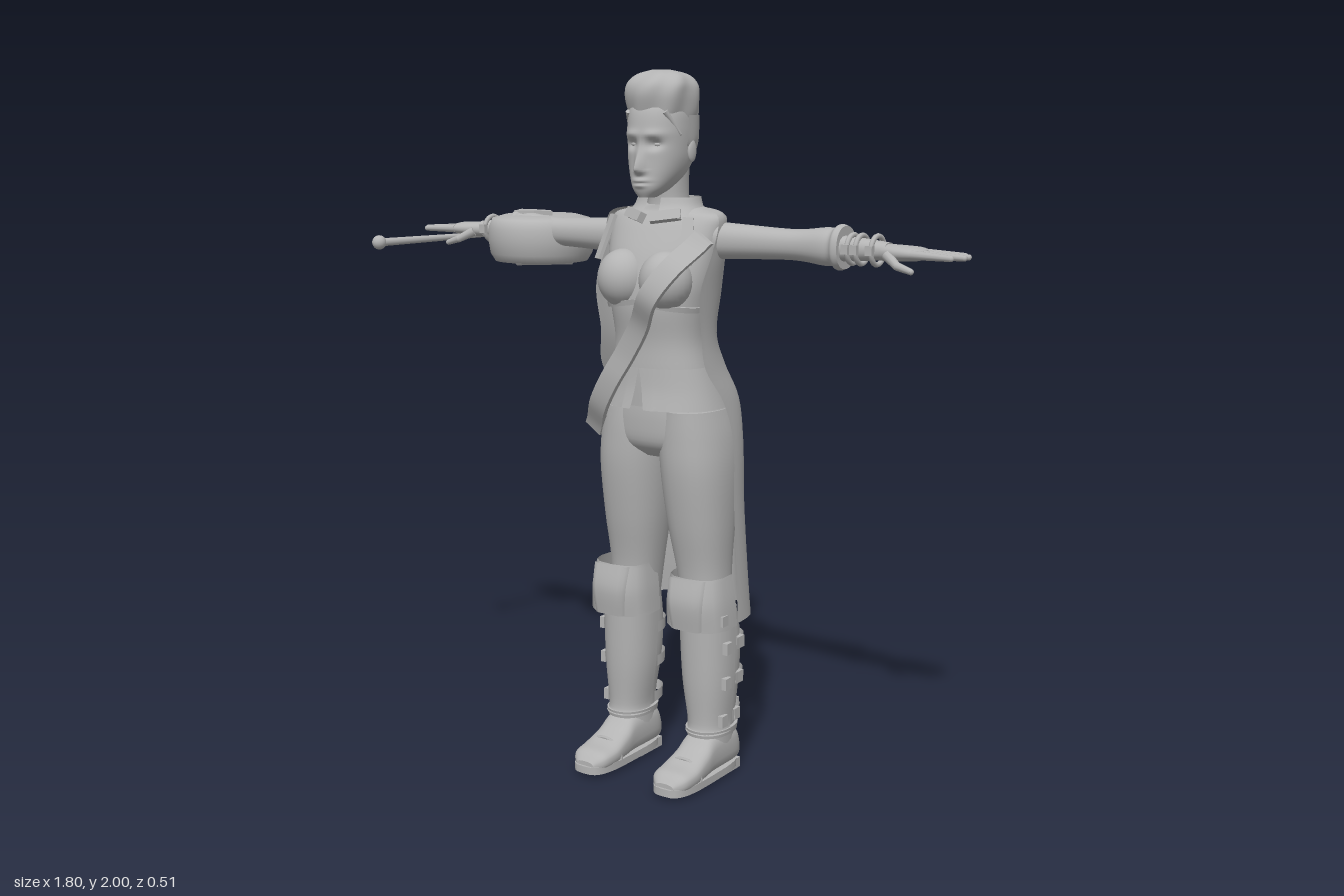
import * as THREE from 'three';

const { sin, cos, PI, abs, sign, exp, floor, min, max } = Math;
const grey = new THREE.MeshStandardMaterial({ color: 0xb4b4b4, side: THREE.DoubleSide });
grey.name = 'clay grey';

// Smooth interpolation through a list of equally spaced rows of numbers
function spline(rows, t) {
  const last = rows.length - 1, i = max(0, min(floor(t), last - 1)), u = t - i;
  const at = k => rows[max(0, min(last, k))];
  return rows[i].map((_, c) => {
    const [a, b, d, e] = [at(i - 1)[c], at(i)[c], at(i + 1)[c], at(i + 2)[c]];
    return b + 0.5 * u * (d - a + u * (2 * a - 5 * b + 4 * d - e + u * (3 * (b - d) + e - a)));
  });
}

// Skin over oval sections, row = [height, centreX, halfWidth, frontZ, backZ].
// from/to give an open shell; bend moves each point by a rule.
function loft(rows, { n = 32, steps = 5, p = 0.9, from = 0, to = 2 * PI, bend } = {}) {
  const full = to - from > 6.28, cols = full ? n : n + 1, count = (rows.length - 1) * steps;
  const pos = [], idx = [], v = new THREE.Vector3();
  const power = c => sign(c) * abs(c) ** p;
  const ring = s => {
    const [y, cx, w, zf, zb] = spline(rows, s / steps);
    for (let j = 0; j < cols; j++) {
      const a = from + (to - from) * j / n;
      v.set(cx + w * power(cos(a)), y, (zf + zb) / 2 + (zf - zb) / 2 * power(sin(a)));
      if (bend) bend(v, a, s / count);
      pos.push(v.x, v.y, v.z);
    }
  };
  for (let s = 0; s <= count; s++) ring(s);
  for (let s = 0; s < count; s++) for (let j = 0; j < n; j++) {
    const a = s * cols + j, b = s * cols + (j + 1) % cols;
    idx.push(a, a + cols, b, b, a + cols, b + cols);
  }
  if (full) for (const s of [0, count]) {
    const start = pos.length / 3, [y, cx, , zf, zb] = spline(rows, s / steps);
    ring(s);
    pos.push(cx, y, (zf + zb) / 2);
    for (let j = 0; j < n; j++) {
      const a = start + j, b = start + (j + 1) % n;
      idx.push(...(s ? [start + n, b, a] : [start + n, a, b]));
    }
  }
  const g = new THREE.BufferGeometry();
  g.setAttribute('position', new THREE.Float32BufferAttribute(pos, 3));
  g.setIndex(idx);
  g.computeVertexNormals();
  return g;
}

function add(parent, name, geometry, x = 0, y = 0, z = 0) {
  const m = new THREE.Mesh(geometry, grey);
  m.name = name;
  m.position.set(x, y, z);
  parent.add(m);
  return m;
}

// Rounded rod between two points
function rod(parent, name, a, b, r, r2) {
  const p = new THREE.Vector3(...a), q = new THREE.Vector3(...b), d = q.clone().sub(p);
  const m = add(parent, name, new THREE.CylinderGeometry(r2, r, d.length(), 10));
  m.position.copy(p).addScaledVector(d, 0.5);
  m.quaternion.setFromUnitVectors(new THREE.Vector3(0, 1, 0), d.normalize());
  add(parent, name + 'Tip', new THREE.SphereGeometry(r2, 10, 8), ...b);
}

function buildHead(root) {
  const bump = (v, x, y, sx, sy) => exp(-(((abs(v.x) - x) / sx) ** 2) - ((v.y - y) / sy) ** 2);
  const face = v => {
    if (v.z < 0.03) return;
    const nose = v.y > 1.737 ? bump(v, 0, 1.737, 0.013, 0.045) : bump(v, 0, 1.737, 0.015, 0.012);
    v.z += 0.03 * nose - 0.016 * bump(v, 0.036, 1.803, 0.02, 0.013) + 0.007 * bump(v, 0.035, 1.83, 0.03, 0.01)
      + 0.009 * bump(v, 0, 1.707, 0.022, 0.006) + 0.008 * bump(v, 0, 1.694, 0.018, 0.006)
      - 0.005 * bump(v, 0, 1.7, 0.025, 0.003);
  };
  add(root, 'head', loft([[1.662, 0, 0.022, 0.092, 0.04], [1.685, 0, 0.046, 0.102, -0.01],
    [1.72, 0, 0.067, 0.1, -0.06], [1.76, 0, 0.08, 0.098, -0.09], [1.8, 0, 0.085, 0.098, -0.103],
    [1.85, 0, 0.087, 0.097, -0.107], [1.9, 0, 0.083, 0.085, -0.104], [1.94, 0, 0.06, 0.05, -0.07]],
  { n: 72, steps: 9, p: 0.88, bend: face }));
  add(root, 'neck', loft([[1.58, 0, 0.075, 0.03, -0.1], [1.64, 0, 0.057, 0.02, -0.09],
    [1.7, 0, 0.055, 0.025, -0.088], [1.77, 0, 0.06, 0.03, -0.09]]));
  const curls = (v, a, t) => {
    const k = 1 + 0.035 * cos(7 * a + 5 * t);
    v.x *= k; v.z = (v.z + 0.01) * k - 0.01;
  };
  add(root, 'hairTop', loft([[1.865, 0, 0.083, 0.078, -0.108], [1.895, 0, 0.091, 0.086, -0.109],
    [1.935, 0, 0.096, 0.093, -0.103], [1.965, 0, 0.092, 0.085, -0.09], [1.988, 0, 0.07, 0.06, -0.06],
    [2, 0, 0.025, 0.025, -0.02]], { n: 56, bend: curls }));
  add(root, 'hairBack', loft([[1.79, 0, 0.083, 0.09, -0.1], [1.815, 0, 0.09, 0.1, -0.11],
    [1.88, 0, 0.091, 0.1, -0.113]], { from: PI * 0.98, to: PI * 2.02,
    bend: (v, a, t) => { v.y += 0.008 * sin(a * 14) * (1 - t); } }));
  for (const s of [-1, 1]) {
    add(root, 'eye', new THREE.SphereGeometry(0.012, 14, 10), s * 0.035, 1.803, 0.07).scale.set(1.2, 0.6, 0.8);
    add(root, 'ear', new THREE.SphereGeometry(0.028, 14, 10), s * 0.086, 1.785, -0.02).scale.set(0.3, 1.1, 0.65);
    rod(root, 'sideLock', [s * 0.06, 1.89, 0.07], [s * 0.083, 1.83, 0.03], 0.008, 0.004);
  }
}

function buildTorso(root) {
  add(root, 'bodice', loft([[1.09, 0, 0.165, 0.1, -0.15], [1.18, 0, 0.15, 0.105, -0.12],
    [1.27, 0, 0.135, 0.105, -0.105], [1.36, 0, 0.145, 0.118, -0.12], [1.43, 0, 0.16, 0.115, -0.13],
    [1.5, 0, 0.17, 0.095, -0.13], [1.57, 0, 0.178, 0.06, -0.12], [1.61, 0, 0.176, 0.035, -0.115],
    [1.625, 0, 0.13, 0.025, -0.11], [1.64, 0, 0.075, 0.02, -0.1]], { n: 40 }));
  for (const s of [-1, 1])
    add(root, 'bust', new THREE.SphereGeometry(0.075, 24, 18), s * 0.07, 1.44, 0.08).scale.set(1, 1.08, 0.98);
  add(root, 'underbustBand', loft([[1.375, 0, 0.15, 0.127, -0.12], [1.39, 0, 0.154, 0.13, -0.12]],
    { bend: v => { v.y -= 0.15 * abs(v.x) * (v.z > 0 ? 1 : 0.3); } }));
  // Flared hem with a notch at the front
  add(root, 'bodiceHem', loft([[1.085, 0, 0.182, 0.122, -0.17], [1.14, 0, 0.166, 0.113, -0.145],
    [1.2, 0, 0.148, 0.11, -0.12]], { n: 48, from: PI / 2 + 0.002, to: PI * 2.5 - 0.002,
    bend: (v, a, t) => { if (v.z > 0 && abs(v.x) < 0.03) v.x += sign(v.x) * 0.022 * (1 - t); } }));
  add(root, 'hips', loft([[0.94, 0, 0.1, 0.04, -0.13], [0.98, 0, 0.18, 0.082, -0.17],
    [1.05, 0, 0.185, 0.092, -0.18], [1.12, 0, 0.16, 0.09, -0.15]]));
  add(root, 'collar', loft([[1.605, 0, 0.125, 0.07, -0.118], [1.635, 0, 0.1, 0.045, -0.112],
    [1.66, 0, 0.09, 0.035, -0.112]], { from: PI / 2 + 0.2, to: PI * 2.5 - 0.2 }));
  for (const s of [-1, 1]) {
    const knot = add(root, 'neckTie', new THREE.BoxGeometry(0.085, 0.028, 0.02), s * 0.05, 1.612, 0.055);
    knot.rotation.set(-0.5, s * 0.4, s * 0.35);
    const lapel = add(root, 'lapel', new THREE.BoxGeometry(0.03, 0.13, 0.01), s * 0.135, 1.55, 0.075);
    lapel.rotation.set(-0.45, s * 0.5, s * 0.2);
  }
  // Long sleeveless coat, open at the front, with soft folds below the hips
  const coat = [[0.46, 0.215, -0.07, -0.25], [0.6, 0.21, -0.07, -0.228], [0.8, 0.206, -0.06, -0.208],
    [0.98, 0.202, -0.06, -0.205], [1.1, 0.192, -0.025, -0.213], [1.2, 0.178, 0.045, -0.165],
    [1.29, 0.17, 0.055, -0.122], [1.41, 0.175, 0.07, -0.155], [1.52, 0.182, 0.02, -0.145],
    [1.61, 0.183, -0.005, -0.118], [1.63, 0.12, -0.02, -0.112]];
  add(root, 'coat', loft(coat.map(([y, w, edge, back]) => [y, 0, w, 2 * edge - back, back]),
    { n: 56, p: 0.8, from: PI, to: 2 * PI, bend: (v, a, t) => {
      v.z += 0.014 * cos(a * 8) * max(0, 1 - 1.9 * t) * abs(sin(a));
    } }));
  // Diagonal strap following the chest
  const g = new THREE.BoxGeometry(0.06, 0.68, 0.016, 1, 32, 1), p = g.attributes.position;
  const bulge = [[0.05], [0.1], [0.118], [0.118], [0.13], [0.168], [0.14], [0.06]];
  for (let i = 0; i < p.count; i++) p.setZ(i, p.getZ(i) + spline(bulge, (p.getY(i) / 0.68 + 0.5) * 7)[0]);
  g.computeVertexNormals();
  add(root, 'chestStrap', g, -0.01, 1.28, 0).rotation.z = -0.596;
}

// Left arm, laid along +x
function buildArm(side) {
  const along = (name, rows, y) => add(side, name, loft(rows).rotateZ(-PI / 2), 0, y, 0);
  along('sleeve', [[0.13, 0, 0.052, 0.008, -0.1], [0.25, 0, 0.046, 0, -0.096], [0.4, 0, 0.041, -0.004, -0.09],
    [0.49, 0, 0.05, 0.003, -0.097], [0.52, 0, 0.05, 0.002, -0.095], [0.535, 0, 0.06, 0.01, -0.103],
    [0.55, 0, 0.056, 0.006, -0.1]], 1.545);
  along('forearm', [[0.5, 0, 0.036, -0.005, -0.08], [0.6, 0, 0.03, -0.008, -0.072], [0.68, 0, 0.022, -0.008, -0.066]], 1.543);
  along('palm', [[0.665, 0, 0.022, -0.008, -0.066], [0.71, 0, 0.021, 0.004, -0.076],
    [0.76, 0, 0.018, 0.008, -0.084], [0.785, 0, 0.01, 0, -0.078]], 1.54);
  for (const x of [0.575, 0.6, 0.645]) {
    const band = add(side, 'bracelet', new THREE.TorusGeometry(0.037, 0.007, 8, 24), x, 1.543, -0.04);
    band.rotation.y = PI / 2;
    add(side, 'braceletBuckle', new THREE.BoxGeometry(0.02, 0.025, 0.014), x, 1.545, 0.004);
  }
  for (const [z, x, tip] of [[-0.074, 0.865, -0.088], [-0.05, 0.89, -0.055], [-0.026, 0.892, -0.025], [-0.002, 0.87, 0.004]])
    rod(side, 'finger', [0.76, 1.54, z], [x, 1.537, tip], 0.012, 0.008);
  rod(side, 'thumb', [0.69, 1.535, -0.005], [0.73, 1.512, 0.018], 0.014, 0.011);
  rod(side, 'thumbEnd', [0.73, 1.512, 0.018], [0.77, 1.5, 0.02], 0.011, 0.008);
}

function buildLeg(side) {
  add(side, 'leg', loft([[0.44, 0.13, 0.065, 0.025, -0.12], [0.6, 0.117, 0.074, 0.032, -0.125],
    [0.75, 0.11, 0.09, 0.06, -0.14], [0.9, 0.105, 0.1, 0.083, -0.16], [1.0, 0.1, 0.097, 0.088, -0.17],
    [1.08, 0.1, 0.08, 0.088, -0.16]]));
  add(side, 'boot', loft([[0.1, 0.14, 0.055, 0.02, -0.13], [0.18, 0.141, 0.057, 0.022, -0.132],
    [0.3, 0.137, 0.07, 0.03, -0.145], [0.4, 0.135, 0.074, 0.032, -0.148], [0.5, 0.132, 0.07, 0.035, -0.135]]));
  add(side, 'shinGuard', loft([[0.14, 0.141, 0.065, 0.036, -0.125], [0.17, 0.141, 0.06, 0.028, -0.125],
    [0.3, 0.137, 0.075, 0.038, -0.14], [0.48, 0.134, 0.08, 0.045, -0.14]], { from: -0.1, to: PI + 0.1 }));
  add(side, 'bootCuff', loft([[0.13, 0.141, 0.063, 0.032, -0.137], [0.15, 0.141, 0.066, 0.036, -0.14]]));
  // Faceted knee plate
  add(side, 'kneeGuard', loft([[0.46, 0.133, 0.096, 0.075, -0.1], [0.535, 0.132, 0.092, 0.082, -0.1],
    [0.61, 0.13, 0.082, 0.068, -0.09]], { n: 8, p: 0.75, from: -0.35, to: PI + 0.35 }));
  add(side, 'kneePlate', loft([[0.462, 0.133, 0.05, 0.083, 0.03], [0.54, 0.132, 0.058, 0.092, 0.03],
    [0.61, 0.13, 0.062, 0.078, 0.02]], { n: 6, p: 0.5, from: 0.2, to: PI - 0.2 }));
  for (const [y, w] of [[0.4, 0.08], [0.295, 0.077], [0.18, 0.066]]) {
    add(side, 'bootStrap', loft([[y - 0.016, 0.137, w, 0.03, -0.155], [y + 0.016, 0.137, w, 0.03, -0.158]],
      { from: PI, to: 2 * PI }));
    for (const [x, z] of [[0.137 + w, -0.015], [0.137 + w * 0.9, -0.09], [0.15, -0.157]])
      add(side, 'buckle', new THREE.BoxGeometry(0.016, 0.034, 0.028), x, y, z);
  }
  add(side, 'kneeBuckle', new THREE.BoxGeometry(0.014, 0.03, 0.028), 0.222, 0.49, 0.015);
  // Shoe, laid along z; heights are stored as negative depths
  add(side, 'shoe', loft([[-0.135, 0.14, 0.045, -0.02, -0.1], [-0.1, 0.14, 0.055, -0.015, -0.15],
    [0, 0.14, 0.055, -0.015, -0.14], [0.05, 0.14, 0.058, -0.015, -0.105], [0.11, 0.14, 0.062, -0.015, -0.078],
    [0.16, 0.14, 0.056, -0.015, -0.068], [0.188, 0.14, 0.03, -0.02, -0.045]], { p: 0.75 }).rotateX(PI / 2));
  add(side, 'sole', loft([[0.01, 0.14, 0.063, 0.195, -0.138], [0.032, 0.14, 0.063, 0.195, -0.138]], { p: 0.6, steps: 1 }));
  add(side, 'heel', new THREE.BoxGeometry(0.1, 0.03, 0.11), 0.14, 0.015, -0.075);
  add(side, 'toeSeam', new THREE.TorusGeometry(0.058, 0.006, 6, 20, PI), 0.14, 0.03, 0.09).scale.y = 0.95;
}

// Drum worn on the right forearm and the beater in the right hand
function buildDrum(root) {
  const profile = [[0, 1.492], [0.115, 1.49], [0.125, 1.455], [0.138, 1.452], [0.152, 1.475], [0.158, 1.515],
    [0.156, 1.55], [0.145, 1.577], [0.11, 1.587], [0, 1.592]].map(q => new THREE.Vector2(...q));
  add(root, 'drum', new THREE.LatheGeometry(profile, 48), -0.51, 0, -0.103);
  add(root, 'drumFrame', new THREE.TorusGeometry(0.115, 0.012, 4, 4).rotateX(PI / 2), -0.51, 1.456, -0.103);
  const rag = new THREE.Shape([[-0.06, 0.01], [-0.04, -0.05], [0.01, -0.02], [0.08, -0.02], [0.04, 0.02], [-0.02, 0.025]]
    .map(q => new THREE.Vector2(...q)));
  add(root, 'drumRag', new THREE.ExtrudeGeometry(rag, { depth: 0.012, bevelEnabled: false }).rotateX(-PI / 2), -0.5, 1.59, -0.065);
  rod(root, 'beater', [-0.75, 1.515, -0.125], [-0.848, 1.51, 0.235], 0.008, 0.012);
  add(root, 'beaterKnob', new THREE.SphereGeometry(0.021, 16, 12), -0.85, 1.51, 0.232);
}

export function createModel() {
  const root = new THREE.Group();
  root.name = 'figure';
  buildHead(root);
  buildTorso(root);
  for (const s of [1, -1]) {
    const side = new THREE.Group();
    side.name = s > 0 ? 'leftLimbs' : 'rightLimbs';
    side.scale.x = s;
    buildArm(side);
    buildLeg(side);
    root.add(side);
  }
  buildDrum(root);
  return root;
}
